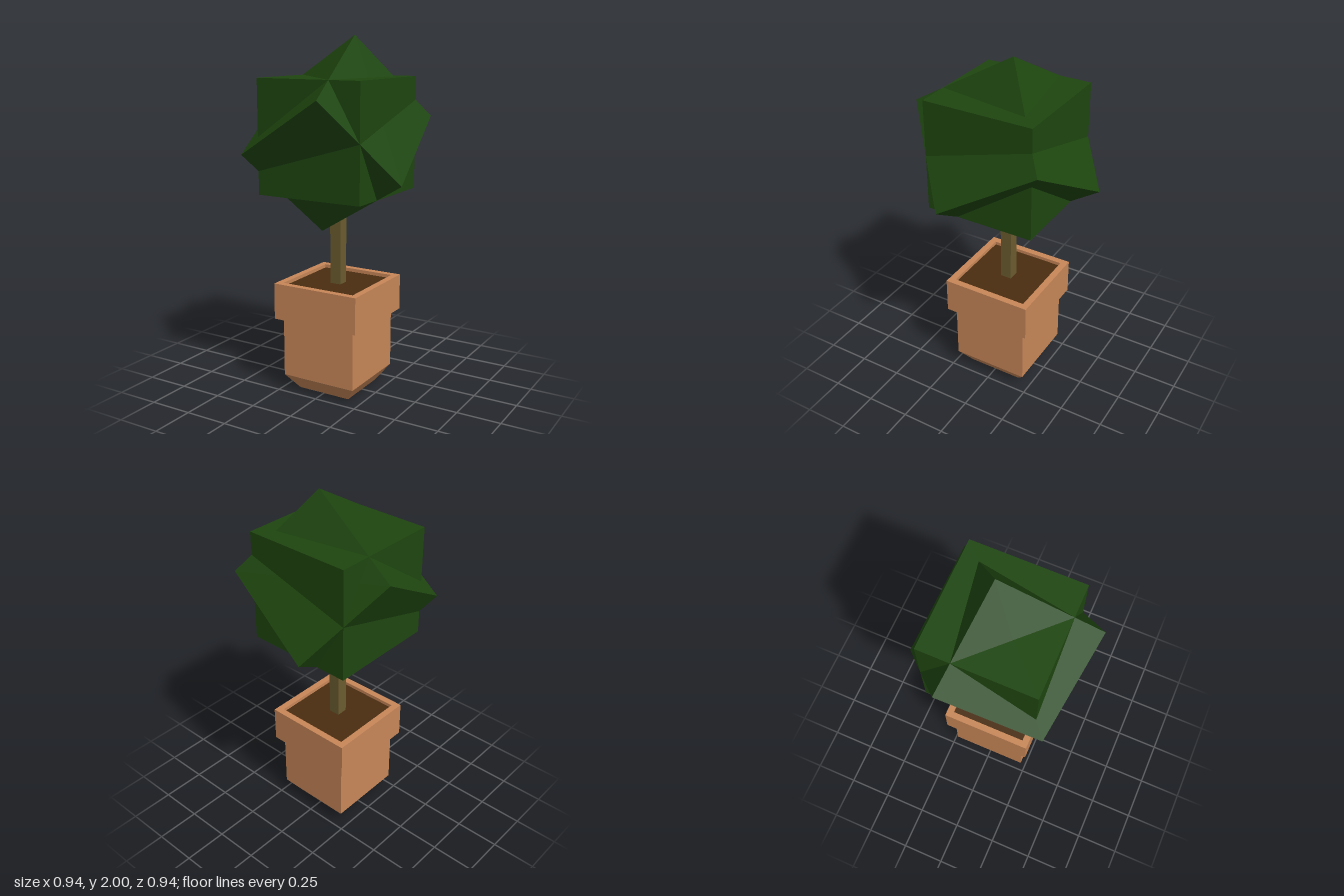
import * as THREE from 'three';

const material = (color) => new THREE.MeshStandardMaterial({ color, flatShading: true });

function addPart(group, name, geometry, mat, y = 0) {
  const mesh = new THREE.Mesh(geometry, mat);
  mesh.name = name;
  mesh.position.y = y;
  group.add(mesh);
  return mesh;
}

export function createModel() {
  const model = new THREE.Group();
  model.name = 'pottedTree';

  // Square pot: chamfered foot, body, overhanging rim and inner lip (half widths, heights)
  const profile = [
    [0, 0], [0.16, 0], [0.225, 0.09], [0.225, 0.432], [0.262, 0.432],
    [0.262, 0.64], [0.224, 0.64], [0.224, 0.615],
  ].map(([half, y]) => new THREE.Vector2(half * Math.SQRT2, y));
  const pot = new THREE.LatheGeometry(profile, 4, Math.PI / 4).toNonIndexed();
  pot.computeVertexNormals();
  addPart(model, 'pot', pot, material(0xc88758));

  // Soil just below the rim
  const soil = new THREE.PlaneGeometry(0.448, 0.448).rotateX(-Math.PI / 2);
  addPart(model, 'soil', soil, material(0x4a2d10), 0.62);

  // Trunk runs from the soil into the foliage
  const trunkBottom = 0.62, trunkTop = 1.2;
  addPart(model, 'trunk', new THREE.BoxGeometry(0.066, trunkTop - trunkBottom, 0.066),
    material(0x6b5c2f), (trunkBottom + trunkTop) / 2);

  // Foliage: two equal cubes sharing a centre, the second tipped 45 degrees about a diagonal
  const leaves = material(0x1e460f);
  const cube = new THREE.BoxGeometry(0.63, 0.63, 0.63);
  addPart(model, 'foliageUpright', cube, leaves, 1.465);
  const tilted = addPart(model, 'foliageTilted', cube, leaves, 1.465);
  tilted.quaternion.setFromAxisAngle(new THREE.Vector3(1, 0, 1).normalize(), Math.PI / 4);

  return model;
}
